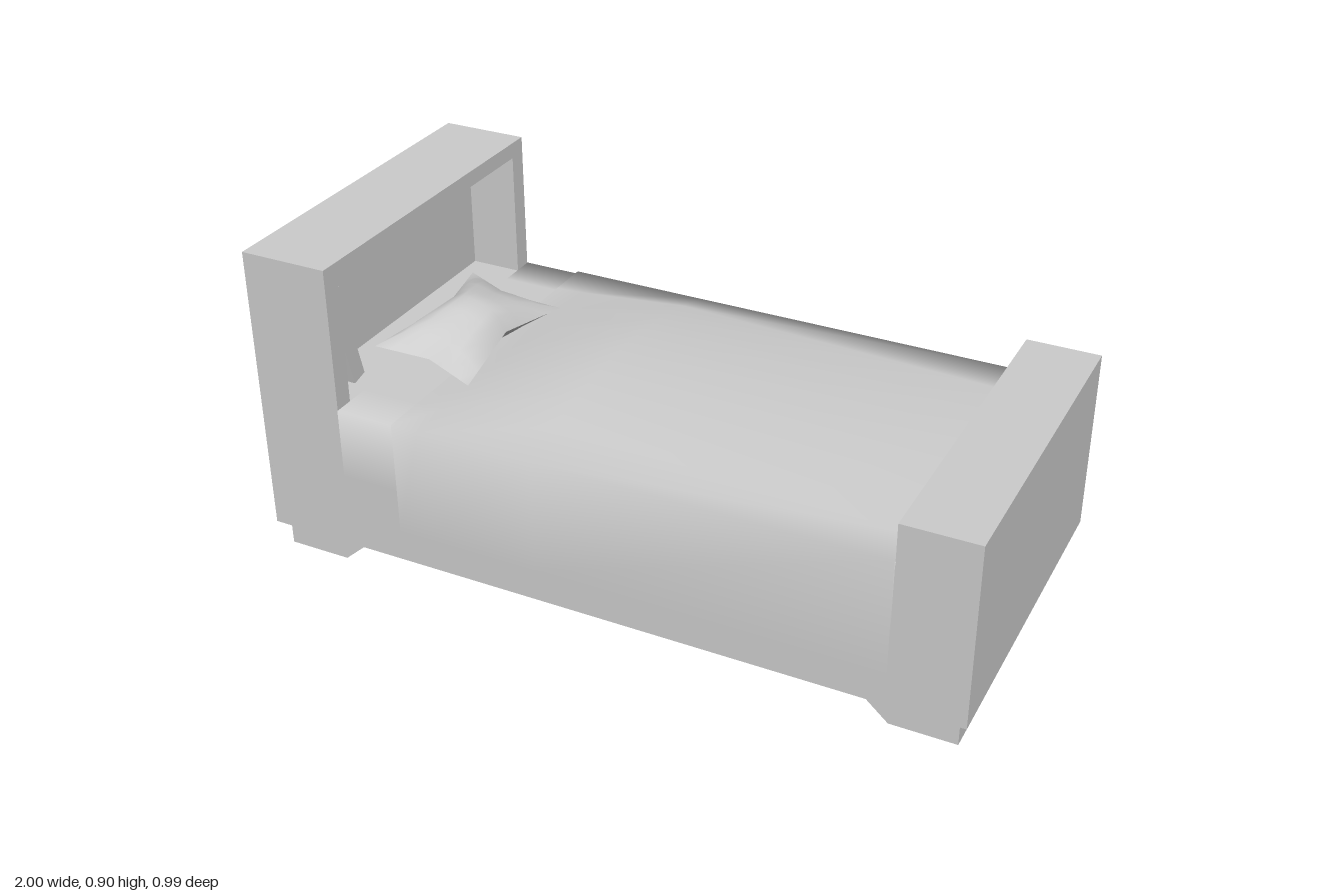
import * as THREE from 'three';

const grey = new THREE.MeshStandardMaterial({ color: 0xcccccc, side: THREE.DoubleSide });
grey.name = 'light grey';

const WALL = 0.008;

function add(group, name, geometry) {
  const mesh = new THREE.Mesh(geometry, grey);
  mesh.name = name;
  group.add(mesh);
  return mesh;
}

// Box given by its minimum and maximum corners
function box(group, name, [x0, y0, z0], [x1, y1, z1]) {
  const mesh = add(group, name, new THREE.BoxGeometry(x1 - x0, y1 - y0, z1 - z0));
  mesh.position.set((x0 + x1) / 2, (y0 + y1) / 2, (z0 + z1) / 2);
}

// Thin upright wall across z, with its outer face at z = s * half
function sideWall(group, name, s, half, [x0, y0], [x1, y1]) {
  const z = s * (half - WALL / 2);
  box(group, name, [x0, y0, z - WALL / 2], [x1, y1, z + WALL / 2]);
}

// Flat outline in x and y, given thickness from z0
function plate(points, z0, depth) {
  const shape = new THREE.Shape(points.map(([x, y]) => new THREE.Vector2(x, y)));
  return new THREE.ExtrudeGeometry(shape, { depth, bevelEnabled: false }).translate(0, 0, z0);
}

// Smooth sheet from a rows x cols grid of points
function sheet(rows, cols, pointAt) {
  const pos = [], index = [];
  for (let i = 0; i < rows; i++) for (let j = 0; j < cols; j++) {
    pos.push(...pointAt(i, j));
    if (i < rows - 1 && j < cols - 1) {
      const a = i * cols + j, b = a + cols;
      index.push(a, b, b + 1, a, b + 1, a + 1);
    }
  }
  const g = new THREE.BufferGeometry();
  g.setAttribute('position', new THREE.Float32BufferAttribute(pos, 3));
  g.setIndex(index);
  g.computeVertexNormals();
  return g;
}

// Cloth over the bed: upright sides up to the edge height, arched in the middle.
// Stations are [x, height along the centre line]
function drape(stations, half, bottom, edge) {
  const n = 8;
  return sheet(stations.length, n + 3, (i, j) => {
    const [x, crest] = stations[i];
    if (j === 0) return [x, bottom, half];
    if (j === n + 2) return [x, bottom, -half];
    const v = 1 - (2 * (j - 1)) / n;
    return [x, edge + (crest - edge) * (1 - v * v), half * v];
  });
}

// One face of the pillow, with pulled-out corners and pinched edges
function pillowSide(puffHeight) {
  const n = 8;
  return sheet(n + 1, n + 1, (i, j) => {
    const u = (i / n) * 2 - 1, v = 1 - (j / n) * 2;
    const rear = -0.71 - 0.08 * Math.abs(v), front = -0.53 + 0.03 * Math.abs(v);
    const t = (u + 1) / 2;
    const x = rear + (front - rear) * t;
    const z = v * (0.25 - 0.04 * (1 - Math.abs(u)));
    const seam = 0.565 - 0.05 * t + 0.035 * (1 - Math.abs(v));
    const puff = Math.sqrt((1 - u * u) * (1 - v * v));
    return [x, seam + puff * puffHeight, z];
  });
}

export function createModel() {
  const bed = new THREE.Group();
  bed.name = 'bed';

  // Side rails between the two ends
  for (const s of [1, -1]) sideWall(bed, 'sideRail', s, 0.49, [-0.75, 0.08], [0.795, 0.49]);

  // Headboard: hollow shell, open below, with a deep framed recess
  const head = new THREE.Group();
  head.name = 'headboard';
  bed.add(head);
  box(head, 'headboardBack', [-1, 0.08, -0.49], [-1 + WALL, 0.905, 0.49]);
  box(head, 'headboardTop', [-1, 0.905 - WALL, -0.49], [-0.75, 0.905, 0.49]);
  box(head, 'headboardLintel', [-0.75 - WALL, 0.86, -0.49], [-0.75, 0.905, 0.49]);
  box(head, 'recessTop', [-0.9, 0.86, -0.435], [-0.75, 0.86 + WALL, 0.435]);
  box(head, 'recessPanel', [-0.9 - WALL, 0.49, -0.435], [-0.9, 0.86, 0.435]);
  box(head, 'recessFloor', [-0.9, 0.49, -0.435], [-0.75, 0.498, 0.435]);
  for (const s of [1, -1]) {
    sideWall(head, 'headboardSide', s, 0.49, [-1, 0.08], [-0.75, 0.905]);
    sideWall(head, 'recessSide', s, 0.435 + WALL, [-0.9, 0.49], [-0.75, 0.86]);
    const z = s * 0.4625;
    box(head, 'headboardPost', [-0.75 - WALL, 0.49, z - 0.0275], [-0.75, 0.86, z + 0.0275]);
  }

  // Slim board leaning in the corner of the headboard
  const slab = add(head, 'leaningBoard', new THREE.BoxGeometry(0.09, 0.3, 0.047));
  slab.position.set(-0.83, 0.658, 0.374);
  slab.rotation.x = 0.25;

  // Footboard: hollow shell, open below
  const foot = new THREE.Group();
  foot.name = 'footboard';
  bed.add(foot);
  box(foot, 'footboardOuter', [1 - WALL, 0.08, -0.49], [1, 0.605, 0.49]);
  box(foot, 'footboardTop', [0.795, 0.605 - WALL, -0.49], [1, 0.605, 0.49]);
  box(foot, 'footboardInner', [0.795, 0.48, -0.49], [0.795 + WALL, 0.605, 0.49]);
  for (const s of [1, -1]) sideWall(foot, 'footboardSide', s, 0.49, [0.795, 0.08], [1, 0.605]);

  // Bedding
  add(bed, 'mattress', drape([[-0.75, 0.5], [-0.5, 0.5], [0.795, 0.5]], 0.492, 0.3, 0.5));
  const crests = [[-0.58, 0.506], [-0.5, 0.515], [-0.17, 0.585], [0.795, 0.506]];
  add(bed, 'blanket', drape(crests, 0.497, 0.175, 0.505));
  const pillow = new THREE.Group();
  pillow.name = 'pillow';
  bed.add(pillow);
  add(pillow, 'pillowTop', pillowSide(0.05));
  // underside is wound the other way round
  const under = pillowSide(-0.05);
  under.setIndex(Array.from(under.index.array).reverse());
  under.computeVertexNormals();
  add(pillow, 'pillowUnderside', under);

  // Bracket feet: two thin tapered plates meeting at each corner
  const t = 0.015;
  const long = [[0.975, 0], [0.795, 0], [0.7, 0.085], [0.975, 0.085]];
  const across = [[0.46, 0], [0.23, 0], [0.13, 0.085], [0.46, 0.085]];
  for (const sx of [1, -1]) for (const sz of [1, -1]) {
    const corner = new THREE.Group();
    corner.name = 'foot';
    bed.add(corner);
    add(corner, 'footSide', plate(long.map(([x, y]) => [sx * x, y]), sz > 0 ? 0.46 - t : -0.46, t));
    const end = plate(across.map(([z, y]) => [-sz * z, y]), sx > 0 ? 0.975 - t : -0.975, t);
    add(corner, 'footEnd', end.rotateY(Math.PI / 2));
  }
  return bed;
}
